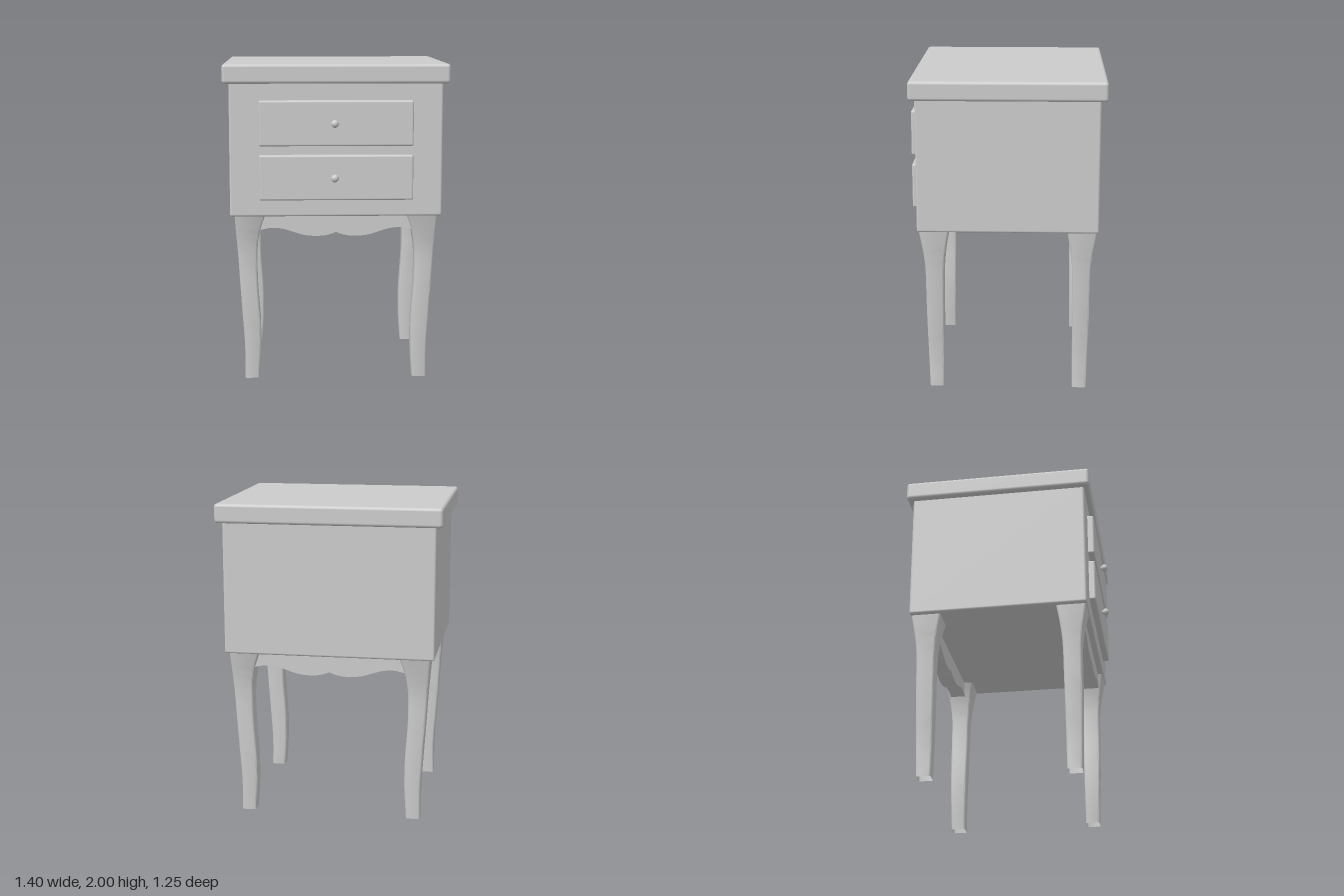
import * as THREE from 'three';
import { toCreasedNormals } from 'three/addons/utils/BufferGeometryUtils.js';
import { RoundedBoxGeometry } from 'three/addons/geometries/RoundedBoxGeometry.js';

const material = new THREE.MeshStandardMaterial({ color: 0xcccccc });
const openMaterial = new THREE.MeshStandardMaterial({ color: 0xcccccc, side: THREE.DoubleSide });
const MID_Z = -0.0225; // front-to-back mirror plane of the body and legs

function add(parent, name, geometry, x = 0, y = 0, z = 0, mat = material) {
  const mesh = new THREE.Mesh(geometry, mat);
  mesh.name = name;
  mesh.position.set(x, y, z);
  parent.add(mesh);
  return mesh;
}

// Rounded box given by its limits
function addBox(parent, name, [x0, x1], [y0, y1], [z0, z1], radius) {
  return add(parent, name, new RoundedBoxGeometry(x1 - x0, y1 - y0, z1 - z0, 3, radius),
    (x0 + x1) / 2, (y0 + y1) / 2, (z0 + z1) / 2);
}

// Curved, tapering leg: soft-cornered square sections lofted from foot to body
function legGeometry() {
  // y, inner x, outer x, inner z, outer z (z measured from MID_Z)
  const stations = [
    [0.00, 0.489, 0.580, 0.410, 0.500],
    [0.20, 0.477, 0.578, 0.408, 0.506],
    [0.40, 0.479, 0.590, 0.406, 0.511],
    [0.60, 0.493, 0.603, 0.403, 0.514],
    [0.80, 0.496, 0.615, 0.400, 0.516],
    [0.90, 0.487, 0.622, 0.391, 0.526],
    [0.98, 0.470, 0.628, 0.379, 0.539],
    [1.07, 0.438, 0.633, 0.363, 0.555],
  ];
  const inner = new THREE.CatmullRomCurve3(stations.map(s => new THREE.Vector3(s[1], s[0], s[3])));
  const outer = new THREE.CatmullRomCurve3(stations.map(s => new THREE.Vector3(s[2], s[0], s[4])));
  const rows = 21, cornerSteps = 2, radius = 0.012;
  const ringSize = 4 * (cornerSteps + 1);
  const positions = [], index = [];
  for (let r = 0; r <= rows; r++) {
    const a = inner.getPoint(r / rows), b = outer.getPoint(r / rows);
    const hx = (b.x - a.x) / 2 - radius, hz = (b.z - a.z) / 2 - radius;
    for (let c = 0; c < 4; c++) {
      const sx = c === 0 || c === 3 ? 1 : -1, sz = c < 2 ? 1 : -1;
      for (let k = 0; k <= cornerSteps; k++) {
        const t = (c + k / cornerSteps) * Math.PI / 2;
        positions.push((a.x + b.x) / 2 + sx * hx + radius * Math.cos(t), a.y,
          (a.z + b.z) / 2 + sz * hz + radius * Math.sin(t));
      }
    }
    if (r === rows) break;
    for (let i = 0; i < ringSize; i++) {
      const p = r * ringSize + i, q = r * ringSize + (i + 1) % ringSize;
      index.push(p, p + ringSize, q, q, p + ringSize, q + ringSize);
    }
  }
  const geometry = new THREE.BufferGeometry();
  geometry.setAttribute('position', new THREE.Float32BufferAttribute(positions, 3));
  geometry.setIndex(index);
  return toCreasedNormals(geometry, 0.9);
}

// Scalloped apron board with a central cusp
function apronGeometry(depth) {
  const half = [[-0.5, 0.955], [-0.46, 0.968], [-0.4, 0.978], [-0.33, 0.971], [-0.27, 0.953],
    [-0.2, 0.932], [-0.12, 0.925], [-0.05, 0.932], [0, 0.95]].map(p => new THREE.Vector2(...p));
  const shape = new THREE.Shape();
  shape.moveTo(-0.5, 1.07);
  shape.lineTo(-0.5, 0.955);
  shape.splineThru(half.slice(1));
  shape.splineThru(half.slice(0, -1).reverse().map(p => new THREE.Vector2(-p.x, p.y)));
  shape.lineTo(0.5, 1.07);
  const geometry = new THREE.ExtrudeGeometry(shape, { depth, bevelEnabled: false, curveSegments: 3 });
  return toCreasedNormals(geometry, 0.5);
}

export function createModel() {
  const model = new THREE.Group();
  model.name = 'nightstand';

  // Cabinet
  addBox(model, 'tabletop', [-0.7, 0.7], [1.88, 2], [-0.622, 0.575], 0.02);
  addBox(model, 'cabinetBody', [-0.66, 0.66], [1.055, 1.9], [-0.583, 0.538], 0.014);

  // Drawers with round knobs
  for (const [name, y] of [['upperDrawer', 1.638], ['lowerDrawer', 1.302]]) {
    const drawer = new THREE.Group();
    drawer.name = name;
    addBox(drawer, 'drawerFront', [-0.476, 0.476], [y - 0.14, y + 0.14], [0.5, 0.579], 0.012);
    add(drawer, 'knob', new THREE.SphereGeometry(0.024, 20, 14), -0.01, y, 0.604).scale.z = 0.88;
    add(drawer, 'knobStem', new THREE.CylinderGeometry(0.011, 0.011, 0.03, 12), -0.01, y, 0.585)
      .rotation.x = Math.PI / 2;
    model.add(drawer);
  }

  // Four mirrored legs
  const leg = legGeometry();
  for (const sz of [1, -1]) {
    for (const sx of [1, -1]) {
      const name = (sz > 0 ? 'front' : 'back') + (sx > 0 ? 'Left' : 'Right') + 'Leg';
      add(model, name, leg, 0, 0, MID_Z, openMaterial).scale.set(sx, 1, sz);
    }
  }

  // Front and back aprons
  const depth = 0.1, apron = apronGeometry(depth);
  add(model, 'frontApron', apron, 0, 0, 0.4);
  add(model, 'backApron', apron, 0, 0, 2 * MID_Z - 0.4 - depth);

  return model;
}
